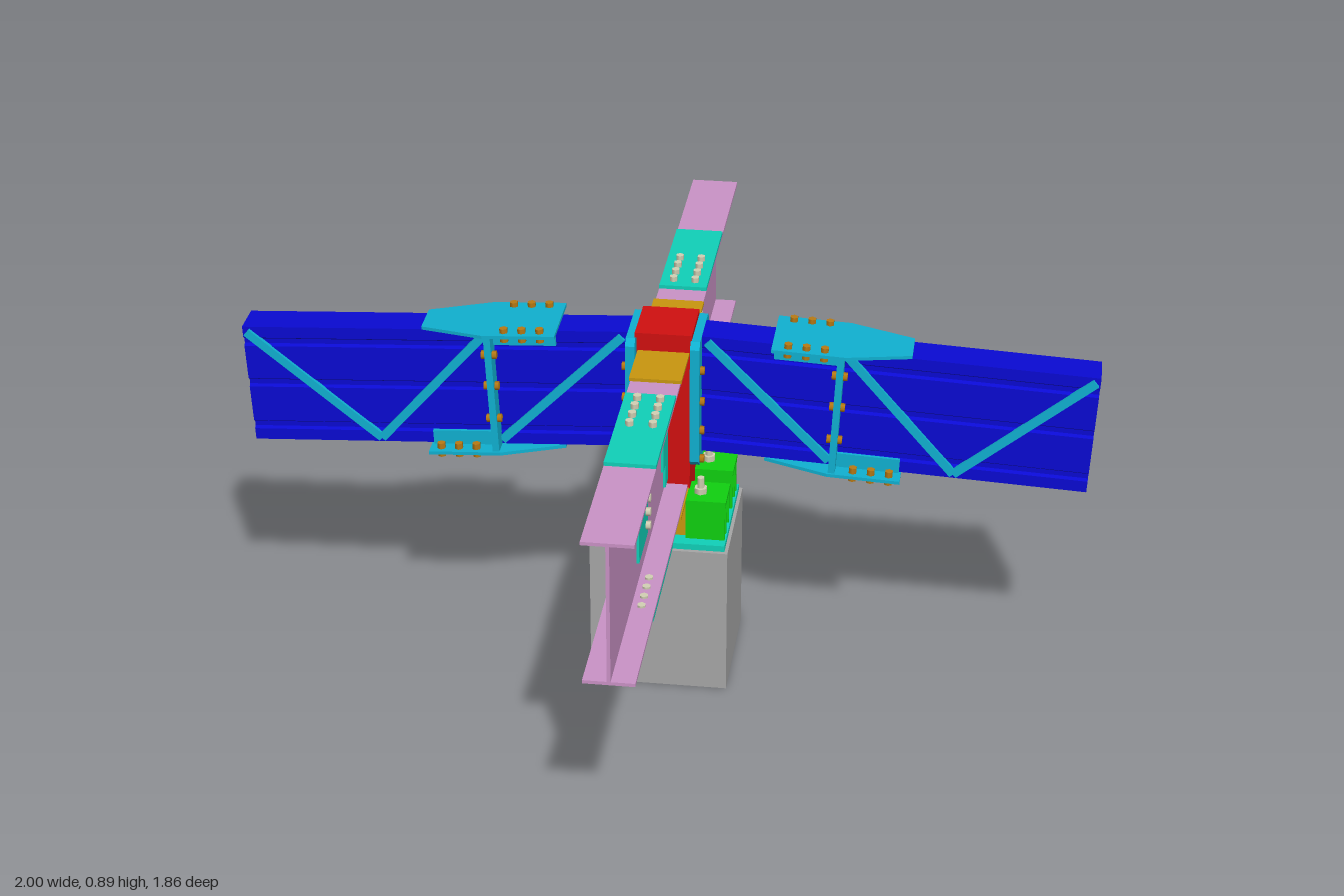
import * as THREE from 'three';

const mat = (name, color) => {
  const m = new THREE.MeshStandardMaterial({ color });
  m.name = name;
  return m;
};

export function createModel() {
  const M = {
    concrete: mat('concrete grey', 0xa6a6a6),
    red: mat('column red', 0xd01010),
    green: mat('chair green', 0x10d010),
    teal: mat('splice teal', 0x10d0b8),
    cyan: mat('plate cyan', 0x10b0d0),
    blue: mat('girder blue', 0x0a0ad2),
    orange: mat('flange ochre', 0xc8960f),
    pink: mat('beam pink', 0xca92c6),
    bolt: mat('bolt beige', 0xd2d0b4),
    rust: mat('bolt brown', 0xb87a14),
  };
  const root = new THREE.Group();
  root.name = 'beamColumnJoint';

  const add = (parent, name, geo, m) => {
    const mesh = new THREE.Mesh(geo, m);
    mesh.name = name;
    parent.add(mesh);
    return mesh;
  };
  // Box given by its limits on each axis
  const box = (parent, name, m, [x0, x1], [y0, y1], [z0, z1]) => {
    const mesh = add(parent, name, new THREE.BoxGeometry(x1 - x0, y1 - y0, z1 - z0), m);
    mesh.position.set((x0 + x1) / 2, (y0 + y1) / 2, (z0 + z1) / 2);
    return mesh;
  };
  // Hexagonal bolt along an axis
  const bolt = (parent, m, axis, x, y, z, len, r = 0.01) => {
    const geo = new THREE.CylinderGeometry(r, r, len, 6);
    if (axis === 'x') geo.rotateZ(Math.PI / 2);
    add(parent, 'bolt', geo, m).position.set(x, y, z);
  };
  const extrude = (pts, depth, holes = []) => {
    const s = new THREE.Shape(pts.map(p => new THREE.Vector2(...p)));
    for (const h of holes) s.holes.push(new THREE.Path(h.map(p => new THREE.Vector2(...p))));
    return new THREE.ExtrudeGeometry(s, { depth, bevelEnabled: false });
  };

  // Foundation and column
  box(root, 'foundation', M.concrete, [-0.163, 0.163], [0, 0.373], [-0.16, 0.16]);
  box(root, 'basePlate', M.teal, [-0.155, 0.155], [0.373, 0.388], [-0.15, 0.15]);
  box(root, 'column', M.red, [-0.062, 0.062], [0.388, 0.88], [-0.066, 0.066]);
  box(root, 'columnCap', M.red, [-0.066, 0.066], [0.88, 0.892], [-0.071, 0.071]);

  // Anchor chairs with ribs, top plates and anchor bolts
  for (const sx of [-1, 1]) {
    const xs = (a, b) => (sx > 0 ? [a, b] : [-b, -a]);
    for (const sz of [-1, 1]) {
      const zs = (a, b) => (sz > 0 ? [a, b] : [-b, -a]);
      for (const z of [0.03, 0.085, 0.115])
        box(root, 'chairRib', M.green, xs(0.06, 0.152), [0.388, 0.482], zs(z, z + 0.008));
      box(root, 'chairTop', M.green, xs(0.06, 0.154), [0.48, 0.49], zs(0.03, 0.124));
      bolt(root, M.bolt, 'y', sx * 0.09, 0.46, sz * 0.08, 0.14, 0.009);
      bolt(root, M.bolt, 'y', sx * 0.09, 0.497, sz * 0.08, 0.014, 0.016);
    }
  }
  for (const sz of [-1, 1])
    box(root, 'baseFacePlate', M.orange, [-0.06, 0.06], [0.388, 0.484], [sz * 0.105 - 0.005, sz * 0.105 + 0.005]);

  // I-beam running along z, one per side
  const iBeam = webBoltZ => {
    const g = new THREE.Group();
    g.name = 'crossBeam';
    root.add(g);
    box(g, 'web', M.pink, [-0.004, 0.004], [0.498, 0.832], [0.066, 0.931]);
    for (const [y0, y1] of [[0.492, 0.5], [0.83, 0.838]])
      box(g, 'flange', M.pink, [-0.057, 0.057], [y0, y1], [0.066, 0.931]);
    for (const [y0, y1] of [[0.484, 0.492], [0.838, 0.846]])
      box(g, 'stubFlange', M.orange, [-0.06, 0.06], [y0, y1], [0.066, 0.207]);
    box(g, 'topSplice', M.teal, [-0.057, 0.057], [0.838, 0.847], [0.28, 0.605]);
    box(g, 'bottomSplice', M.teal, [-0.057, 0.057], [0.483, 0.492], [0.328, 0.652]);
    box(g, 'webSplice', M.teal, [-0.01, 0.01], [0.56, 0.77], [0.397, 0.54]);
    // Stepped shear tab
    const tab = extrude([[0.066, 0.51], [0.105, 0.51], [0.105, 0.57], [0.14, 0.57],
      [0.14, 0.76], [0.105, 0.76], [0.105, 0.82], [0.066, 0.82]], 0.02);
    tab.translate(0, 0, -0.01).rotateY(-Math.PI / 2);
    add(g, 'shearTab', tab, M.teal);
    for (let i = 0; i < 4; i++) {
      for (const x of [-0.026, 0.026]) {
        bolt(g, M.bolt, 'y', x, 0.842, 0.31 + i * 0.04, 0.034);
        bolt(g, M.bolt, 'y', x, 0.488, 0.5 + i * 0.04, 0.034);
      }
    }
    for (let i = 0; i < 5; i++) bolt(g, M.bolt, 'x', 0, 0.596 + i * 0.035, webBoltZ, 0.042);
    return g;
  };
  iBeam(0.43);
  iBeam(0.5).rotation.y = Math.PI;

  // Hollow ribbed girder section
  const half = [[0.043, 0], [0.043, -0.028], [0.036, -0.033], [0.036, -0.045], [0.043, -0.05],
    [0.043, -0.135], [0.036, -0.14], [0.036, -0.152], [0.043, -0.157],
    [0.043, -0.247], [0.036, -0.252], [0.036, -0.264], [0.043, -0.269], [0.043, -0.297]];
  const outline = [...half, ...half.slice().reverse().map(([z, v]) => [-z, v])];
  const hole = [[-0.031, -0.03], [0.031, -0.03], [0.031, -0.255], [-0.031, -0.255]];

  // Sloping girder along +x with its bracing and splice plates
  const girder = () => {
    const arm = new THREE.Group();
    arm.name = 'girderArm';
    root.add(arm);

    // End plate against the column, with chamfered corners
    const end = extrude([[-0.09, 0.575], [-0.075, 0.56], [0.075, 0.56], [0.09, 0.575],
      [0.09, 0.865], [0.075, 0.88], [-0.075, 0.88], [-0.09, 0.865]], 0.022);
    end.rotateY(Math.PI / 2).translate(0.064, 0, 0);
    add(arm, 'endPlate', end, M.cyan);
    for (const z of [-0.07, 0.07])
      for (const y of [0.57, 0.645, 0.72, 0.8])
        bolt(arm, M.rust, 'x', 0.086, y + 0.005, z, 0.02);

    const g = new THREE.Group();
    g.name = 'girder';
    g.position.set(0.065, 0.88, 0);
    g.rotation.z = -0.051;
    arm.add(g);
    add(g, 'girderBody', extrude(outline, 0.935, [hole]).rotateY(Math.PI / 2), M.blue);

    // Horizontal splice plates, tapering away from the joint
    const plate = (name, y, mirror) => {
      const pts = [[0.185, -0.09], [0.355, -0.09], [0.505, -0.045],
        [0.505, 0.045], [0.355, 0.09], [0.185, 0.09]];
      const geo = extrude(mirror ? pts.map(([x, z]) => [0.69 - x, z]).reverse() : pts, 0.008);
      geo.rotateX(-Math.PI / 2).translate(0, y, 0);
      add(g, name, geo, M.cyan);
    };
    plate('topPlate', 0, false);
    plate('bottomPlate', -0.305, true);

    for (const s of [-1, 1]) {
      const zs = (a, b) => (s > 0 ? [a, b] : [-b, -a]);
      // Joint plate between girder lengths
      box(g, 'jointPlate', M.cyan, [0.337, 0.353], [-0.297, 0], zs(0.04, 0.085));
      for (const y of [-0.05, -0.13, -0.215]) bolt(g, M.rust, 'x', 0.345, y, s * 0.07, 0.036);
      // Side gussets and their bolts
      box(g, 'topGusset', M.cyan, [0.19, 0.345], [-0.035, 0], zs(0.042, 0.05));
      box(g, 'bottomGusset', M.cyan, [0.345, 0.5], [-0.297, -0.262], zs(0.042, 0.05));
      for (let i = 0; i < 3; i++) {
        bolt(g, M.rust, 'y', 0.222 + i * 0.042, 0.002, s * 0.07, 0.034);
        bolt(g, M.rust, 'y', 0.394 + i * 0.042, -0.3, s * 0.07, 0.034);
      }
      // Diagonal bracing
      for (const [a, b, c, d] of [[0.035, -0.012, 0.335, -0.285],
        [0.36, -0.012, 0.625, -0.285], [0.625, -0.285, 0.925, -0.012]]) {
        const bar = add(g, 'diagonal', new THREE.BoxGeometry(Math.hypot(c - a, d - b), 0.02, 0.01), M.cyan);
        bar.position.set((a + c) / 2, (b + d) / 2, s * 0.046);
        bar.rotation.z = Math.atan2(d - b, c - a);
      }
    }
    return arm;
  };
  girder();
  girder().rotation.y = Math.PI;

  return root;
}
